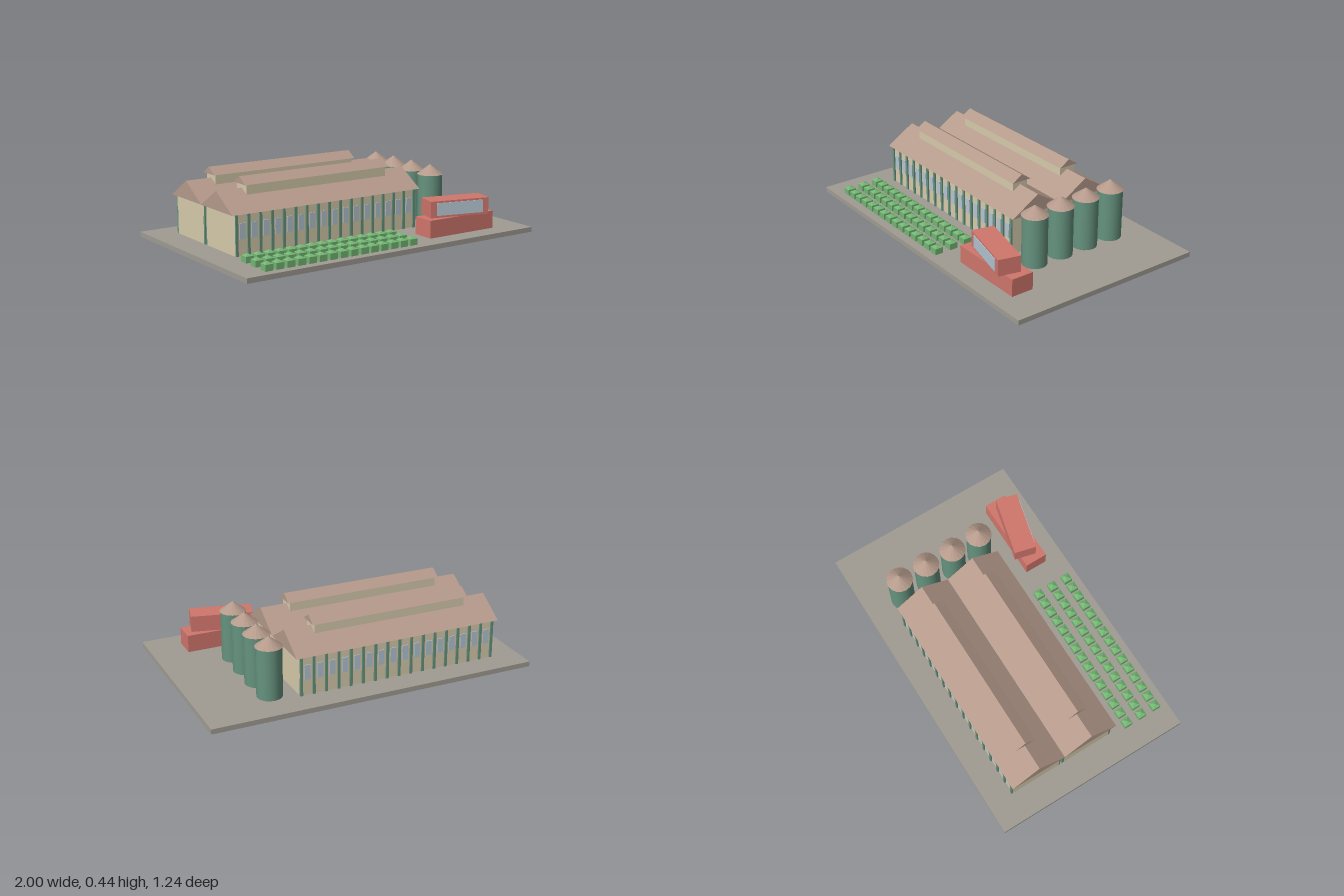
import * as THREE from 'three';

const mat = (name, color, flatShading = false) => {
  const m = new THREE.MeshStandardMaterial({ color, flatShading });
  m.name = name;
  return m;
};

export function createModel() {
  const model = new THREE.Group();
  model.name = 'farmFactory';
  const M = {
    ground: mat('groundGrey', 0xa09c93),
    wall: mat('wallCream', 0xd6cbab),
    roof: mat('roofBrown', 0xb59a8b, true),
    green: mat('siloGreen', 0x66937f),
    glass: mat('windowBlue', 0xb4c6d2),
    red: mat('officeRed', 0xd0766c),
    shrub: mat('shrubGreen', 0x74b574, true),
  };

  const add = (parent, name, geo, material, x = 0, y = 0, z = 0) => {
    const mesh = new THREE.Mesh(geo, material);
    mesh.name = name;
    mesh.position.set(x, y, z);
    parent.add(mesh);
    return mesh;
  };
  const group = (name, parent = model) => {
    const g = new THREE.Group();
    g.name = name;
    parent.add(g);
    return g;
  };
  // Box given by its limits
  const box = (parent, name, material, x0, x1, y0, y1, z0, z1) =>
    add(parent, name, new THREE.BoxGeometry(x1 - x0, y1 - y0, z1 - z0), material,
      (x0 + x1) / 2, (y0 + y1) / 2, (z0 + z1) / 2);
  // Solid gable roof with its ridge along x
  const gable = (parent, name, x0, x1, y0, y1, z, half) => {
    const s = new THREE.Shape([
      new THREE.Vector2(-half, y0), new THREE.Vector2(half, y0), new THREE.Vector2(0, y1),
    ]);
    const geo = new THREE.ExtrudeGeometry(s, { depth: x1 - x0, bevelEnabled: false });
    geo.rotateY(Math.PI / 2);
    add(parent, name, geo, M.roof, x0, 0, z);
  };

  box(model, 'groundSlab', M.ground, -1, 1, 0, 0.03, -0.62, 0.62);

  // Two parallel halls with raised roof monitors
  const bays = 16, x0 = -0.83, x1 = 0.415, step = (x1 - x0 - 0.016) / bays;
  const pilasterGeo = new THREE.BoxGeometry(0.016, 0.235, 0.014);
  const windowGeo = new THREE.BoxGeometry(0.036, 0.09, 0.006);
  [['backHall', -0.298], ['frontHall', 0.052]].forEach(([name, z]) => {
    const hall = group(name);
    box(hall, 'walls', M.wall, x0, x1, 0.03, 0.268, z - 0.16, z + 0.16);
    gable(hall, 'mainRoof', -0.855, 0.44, 0.266, 0.376, z, 0.177);
    box(hall, 'monitorWalls', M.wall, -0.69, 0.275, 0.3, 0.402, z - 0.052, z + 0.052);
    gable(hall, 'monitorRoof', -0.705, 0.29, 0.4, 0.442, z, 0.064);
    for (const side of [-1, 1]) {
      for (let i = 0; i <= bays; i++) {
        const x = x0 + 0.008 + i * step;
        add(hall, 'pilaster', pilasterGeo, M.green, x, 0.1475, z + side * 0.162);
        if (i < bays) add(hall, 'window', windowGeo, M.glass, x + step / 2, 0.17, z + side * 0.162);
      }
    }
  });

  // Row of silos
  const siloGeo = new THREE.CylinderGeometry(0.075, 0.075, 0.305, 16);
  const capGeo = new THREE.ConeGeometry(0.08, 0.06, 16);
  for (let i = 0; i < 4; i++) {
    const silo = group('silo');
    silo.position.set(0.566, 0, 0.172 - i * 0.184);
    add(silo, 'siloBody', siloGeo, M.green, 0, 0.1825, 0);
    add(silo, 'siloCap', capGeo, M.roof, 0, 0.365, 0);
  }

  // Office with a turned upper floor
  const office = group('office');
  box(office, 'lowerFloor', M.red, 0.31, 0.79, 0.03, 0.136, 0.36, 0.5);
  const upper = group('upperFloor', office);
  upper.position.set(0.55, 0.185, 0.43);
  upper.rotation.y = -0.242;
  box(upper, 'upperBlock', M.red, -0.188, 0.188, -0.05, 0.05, -0.068, 0.068);
  box(upper, 'officeWindow', M.glass, -0.15, 0.15, -0.037, 0.039, 0.066, 0.072);

  // Three rows of clipped shrubs
  const shrubs = group('shrubRows');
  const shrubGeo = new THREE.BoxGeometry(0.05, 0.037, 0.052);
  const topGeo = new THREE.ConeGeometry(0.035, 0.013, 4);
  topGeo.rotateY(Math.PI / 4);
  for (const z of [0.342, 0.442, 0.542]) {
    for (let i = 0; i < 15; i++) {
      const x = -0.83 + i * 0.069;
      add(shrubs, 'shrub', shrubGeo, M.shrub, x, 0.0485, z);
      add(shrubs, 'shrubTop', topGeo, M.shrub, x, 0.0735, z);
    }
  }
  return model;
}
